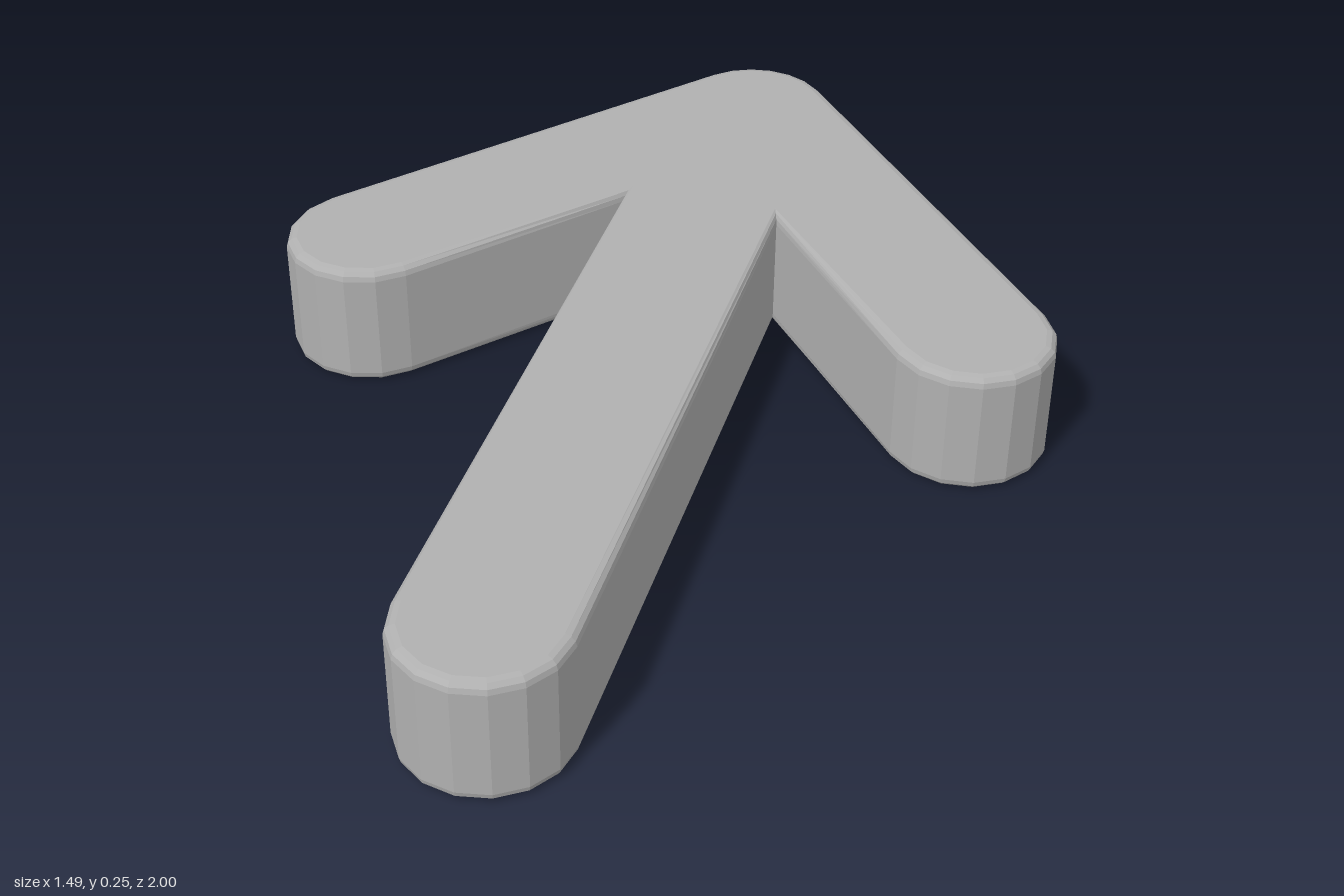
import * as THREE from 'three';

const R = 0.155;      // half width of every bar
const HEIGHT = 0.25;
const BEVEL = 0.02;
const APEX = 0.845;   // centre of the rounded tip, measured towards the back
const ARM = { x: 0.59, y: 0.145 }; // centre of the rounded arm end

// Points along a faceted arc, counter-clockwise
function arc(cx, cy, start, end, steps) {
  return Array.from({ length: steps + 1 }, (_, i) => {
    const a = start + (end - start) * i / steps;
    return new THREE.Vector2(cx + R * Math.cos(a), cy + R * Math.sin(a));
  });
}

export function createModel() {
  const group = new THREE.Group();
  group.name = 'arrow';
  const grey = new THREE.MeshStandardMaterial({ color: 0xb0b0b0, flatShading: true });
  grey.name = 'grey';

  // Outline: shaft end, right arm, tip, left arm
  const slope = Math.atan2(ARM.y - APEX, ARM.x);
  const out = slope + Math.PI / 2; // outward normal of the right arm
  // Where the inner side of an arm meets the side of the shaft
  const notchY = APEX - R * Math.sin(out) + (R + R * Math.cos(out)) * Math.tan(slope);
  const outline = new THREE.Shape([
    ...arc(0, -APEX, Math.PI, 2 * Math.PI, 8),
    new THREE.Vector2(R, notchY),
    ...arc(ARM.x, ARM.y, out - Math.PI, out, 8),
    ...arc(0, APEX, out, Math.PI - out, 6),
    ...arc(-ARM.x, ARM.y, Math.PI - out, 2 * Math.PI - out, 8),
    new THREE.Vector2(-R, notchY),
  ]);

  // Thick plate with rounded edges, laid flat with the tip to the back
  const geometry = new THREE.ExtrudeGeometry(outline, {
    depth: HEIGHT - 2 * BEVEL,
    bevelThickness: BEVEL,
    bevelSize: BEVEL,
    bevelOffset: -BEVEL,
    bevelSegments: 3,
  });
  geometry.rotateX(-Math.PI / 2).translate(0, BEVEL, 0);
  const body = new THREE.Mesh(geometry, grey);
  body.name = 'arrowBody';
  group.add(body);
  return group;
}
